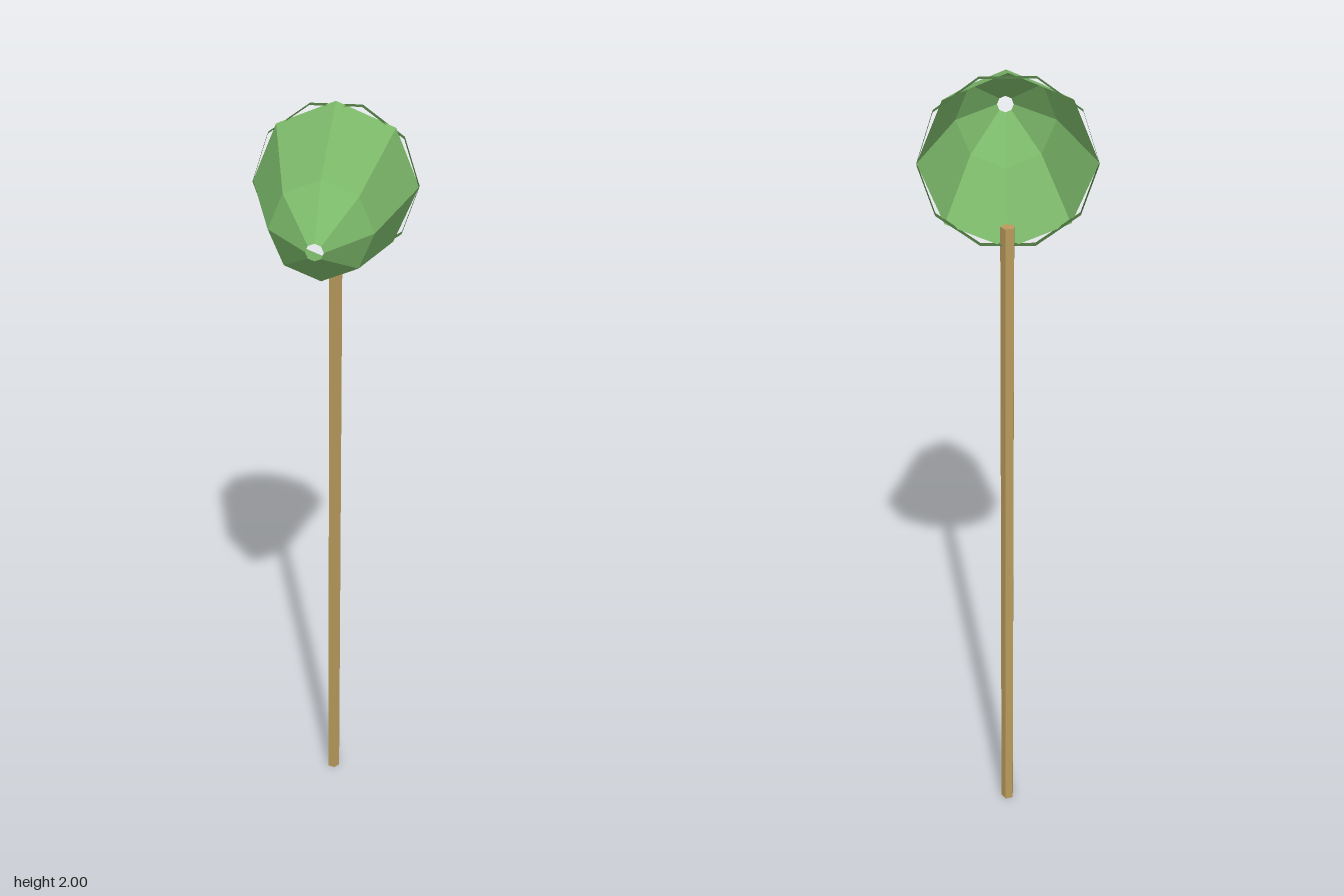
import * as THREE from 'three';

export function createModel() {
  const material = (name, color, side = THREE.FrontSide) =>
    new THREE.MeshStandardMaterial({ name, color, side, flatShading: true });
  const netGreen = material('net green', 0x7bb869, THREE.DoubleSide);
  const rimGreen = material('rim dark green', 0x4c7340, THREE.DoubleSide);
  const wood = material('wood', 0xb89a5c);

  const group = new THREE.Group();
  const add = (name, geometry, mat, y, z) => {
    const mesh = new THREE.Mesh(geometry, mat);
    mesh.name = name;
    mesh.position.set(0, y, z);
    group.add(mesh);
  };
  const centreY = 1.805;

  // Open tapering tube along z, from the front radius to the back radius
  const tube = (front, back, length, sides, start = 0) =>
    new THREE.CylinderGeometry(front, back, length, sides, 1, true, start).rotateX(Math.PI / 2);

  // Net bag: wide mouth at the back, steep tip with a small opening in front
  const zs = [-0.198, 0.095, 0.212];
  const radii = [0.195, 0.117, 0.02];
  ['netBag', 'netTip'].forEach((name, i) => {
    const geometry = tube(radii[i + 1], radii[i], zs[i + 1] - zs[i], 8);
    add(name, geometry, netGreen, centreY, (zs[i] + zs[i + 1]) / 2);
  });

  // Ten-sided band around the mouth
  add('rim', tube(0.195, 0.195, 0.018, 10, Math.PI / 2), rimGreen, centreY, -0.199);

  // Five-sided handle, its top overlapping the mouth
  const start = THREE.MathUtils.degToRad(16);
  add('handle', new THREE.CylinderGeometry(0.017, 0.017, 1.66, 5, 1, false, start), wood, 0.83, -0.197);

  return group;
}
